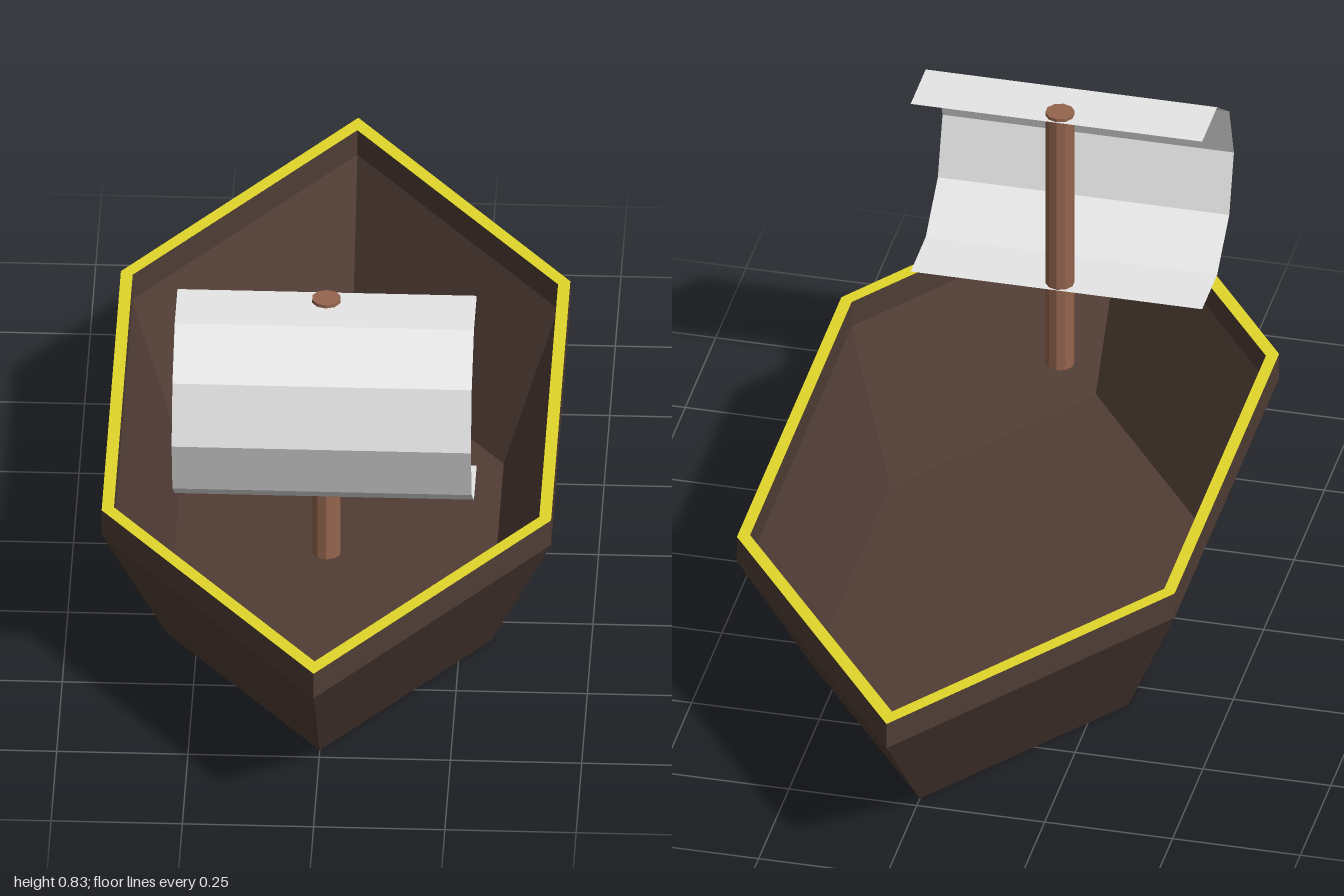
import * as THREE from 'three';

const mat = (name, color, extra = {}) =>
  new THREE.MeshStandardMaterial({ name, color, flatShading: true, ...extra });

// Six-sided boat outline at height y: half-beam, shoulder z, tip z
const ring = (y, beam, shoulder, tip) => [
  [0, y, tip], [beam, y, shoulder], [beam, y, -shoulder],
  [0, y, -tip], [-beam, y, -shoulder], [-beam, y, shoulder],
];

// Flat-faced shell joining successive rings, with an optional end cap
function shell(rings, cap) {
  const pos = [];
  for (let r = 0; r < rings.length - 1; r++) {
    const a = rings[r], b = rings[r + 1];
    for (let i = 0; i < 6; i++) {
      const j = (i + 1) % 6;
      pos.push(...a[i], ...a[j], ...b[j], ...a[i], ...b[j], ...b[i]);
    }
  }
  const fan = cap === 'start' ? [...rings[0]].reverse() : cap === 'end' ? rings.at(-1) : [];
  for (let i = 1; i < fan.length - 1; i++) pos.push(...fan[0], ...fan[i], ...fan[i + 1]);
  const geo = new THREE.BufferGeometry();
  geo.setAttribute('position', new THREE.Float32BufferAttribute(pos, 3));
  geo.computeVertexNormals();
  return geo;
}

export function createModel() {
  const boat = new THREE.Group();
  boat.name = 'sailboat';
  const hullWood = mat('dark hull wood', 0x503d35);
  const trim = mat('yellow trim', 0xe2d62a);
  const mastWood = mat('mast wood', 0x95654f);
  const cloth = mat('sail cloth', 0xe7e7e7, { side: THREE.DoubleSide });

  const add = (name, geo, material) => {
    const mesh = new THREE.Mesh(geo, material);
    mesh.name = name;
    boat.add(mesh);
    return mesh;
  };

  // Hull: flared sides with a vertical top strake, yellow rim, hollow inside
  const outerRim = ring(0.343, 0.428, 0.43, 1);
  const innerRim = ring(0.343, 0.405, 0.418, 0.955);
  add('outerHull', shell([ring(0, 0.31, 0.315, 0.725), ring(0.288, 0.428, 0.43, 1), outerRim], 'start'), hullWood);
  add('rim', shell([outerRim, innerRim]), trim);
  add('innerHull', shell([innerRim, ring(0.288, 0.405, 0.418, 0.955), ring(0.002, 0.306, 0.315, 0.723)], 'end'), hullWood);

  // Mast
  const mast = add('mast', new THREE.CylinderGeometry(0.028, 0.028, 0.57, 10), mastWood);
  mast.position.set(0, 0.545, 0.428);

  // Billowing sail: six panels of a ten-sided tube lying across the boat
  const arc = THREE.MathUtils.degToRad(216);
  const sailGeo = new THREE.CylinderGeometry(0.2, 0.2, 0.57, 6, 1, true, -arc / 2, arc);
  sailGeo.rotateZ(Math.PI / 2);
  add('sail', sailGeo, cloth).position.set(0, 0.633, 0.46);

  return boat;
}
